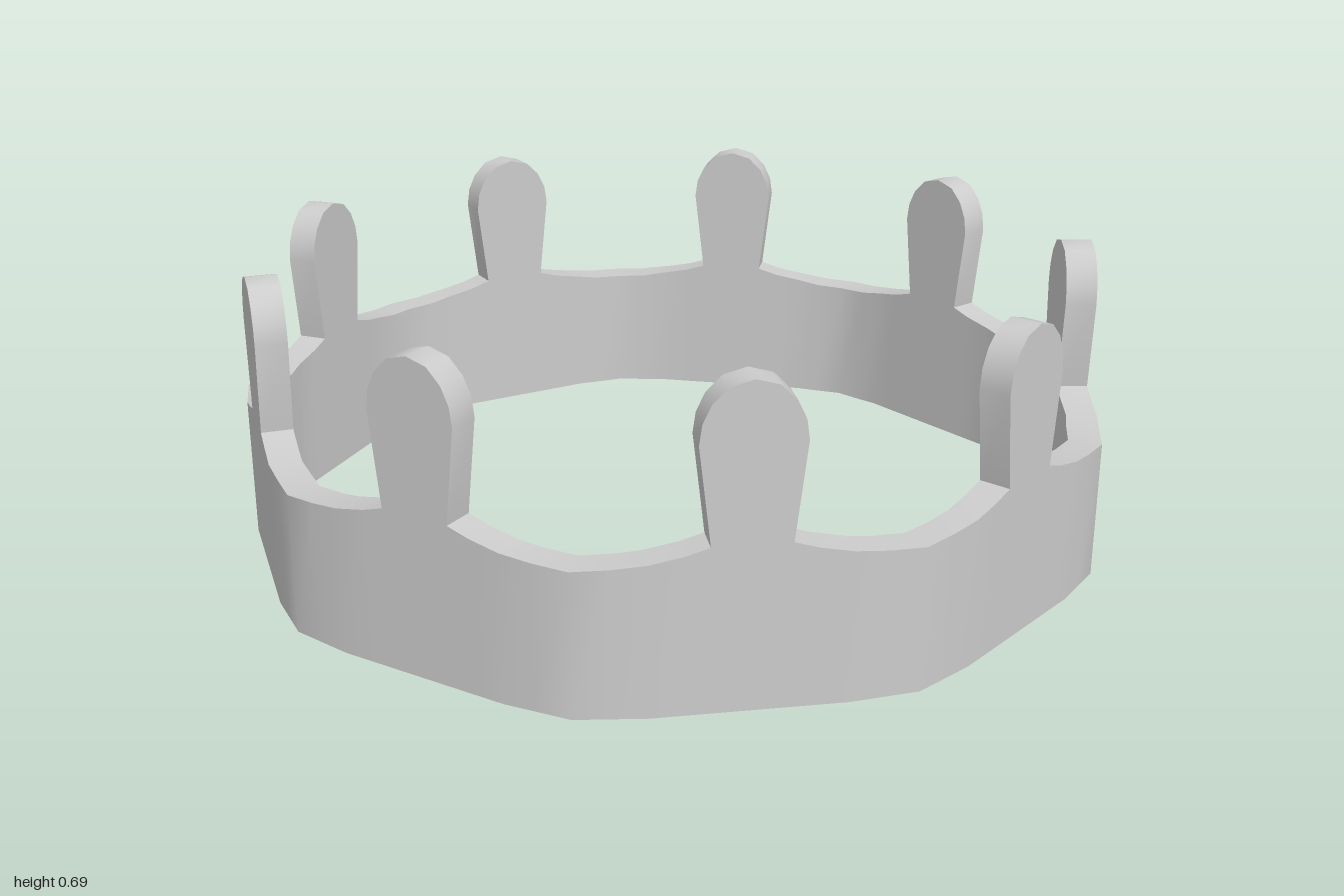
import * as THREE from 'three';
import { toCreasedNormals } from 'three/addons/utils/BufferGeometryUtils.js';

const SIDES = 9;
const STEP = (Math.PI * 2) / SIDES;
const OUTER = 0.973, INNER = 0.903; // distance of the flat middle of a side
const BULGE = 0.0185; // how far that middle stands out beyond the corner line

// Columns along one side: offset from its middle, height of the rim, bulge share
const half = [
  [0.347, 0.315, 0],
  [0.27, 0.318, 0.52],
  [0.2, 0.326, 1],
  [0.13, 0.339, 1],
  [0.08, 0.354, 1],
];
const columns = [
  ...half.map(([t, y, b]) => [-t, y, b]),
  ...half.slice(1).reverse(),
];

// Ring band, as four-point cross-sections joined around the loop
function bandGeometry() {
  const sections = [];
  for (let k = 0; k < SIDES; k++) {
    const a = (k + 0.5) * STEP, s = Math.sin(a), c = Math.cos(a);
    for (const [t, y, b] of columns) {
      const at = (t, r, y) => [s * r + c * t, y, c * r - s * t];
      const drop = BULGE * (1 - b);
      const ti = b < 1 ? t * 0.928 : t;
      sections.push([
        at(t, OUTER - drop, 0), at(t, OUTER - drop, y),
        at(ti, INNER - drop, y), at(ti, INNER - drop, 0),
      ]);
    }
  }
  const pos = [];
  sections.forEach((A, i) => {
    const B = sections[(i + 1) % sections.length];
    const underTooth = i % columns.length === 4;
    for (let j = 0; j < 4; j++) {
      if (underTooth && j === 1) continue; // covered by the tooth
      const n = (j + 1) % 4;
      pos.push(...A[j], ...B[j], ...B[n], ...A[j], ...B[n], ...A[n]);
    }
  });
  const geo = new THREE.BufferGeometry();
  geo.setAttribute('position', new THREE.Float32BufferAttribute(pos, 3));
  return toCreasedNormals(geo, 0.7);
}

// Round-topped tooth that widens upwards
function toothGeometry() {
  const right = [[0.08, 0.354], [0.104, 0.56], [0.098, 0.602], [0.08, 0.64], [0.048, 0.672]];
  const left = right.map(([x, y]) => [-x, y]).reverse();
  const outline = [...right, [0, 0.685], ...left].map((p) => new THREE.Vector2(...p));
  const geo = new THREE.ExtrudeGeometry(new THREE.Shape(outline), {
    depth: OUTER - INNER, bevelEnabled: false,
  });
  geo.translate(0, 0, INNER);
  return toCreasedNormals(geo, 0.7);
}

export function createModel() {
  const crown = new THREE.Group();
  crown.name = 'crown';
  const material = new THREE.MeshStandardMaterial({ color: 0xcccccc });

  const band = new THREE.Mesh(bandGeometry(), material);
  band.name = 'band';
  band.position.z = -0.021;
  crown.add(band);

  // One tooth on the middle of each side
  const toothGeo = toothGeometry();
  for (let k = 0; k < SIDES; k++) {
    const tooth = new THREE.Mesh(toothGeo, material);
    tooth.name = `tooth${k + 1}`;
    tooth.rotation.y = (k + 0.5) * STEP;
    tooth.position.z = -0.021;
    crown.add(tooth);
  }
  return crown;
}
